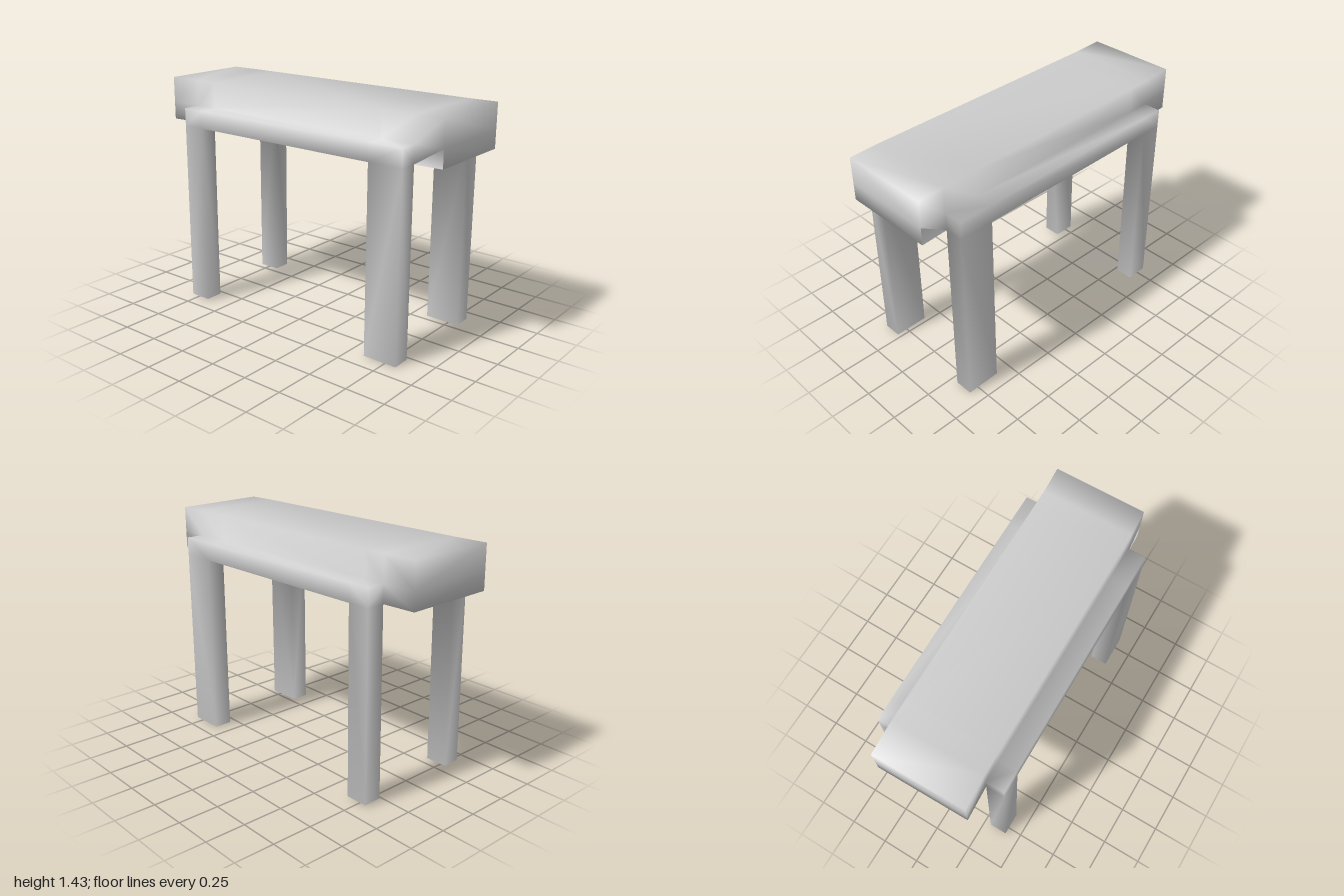
import * as THREE from 'three';

// Break lines of a coarse block grid
const X = [-0.997, -0.79, -0.65, 0.61, 0.827, 0.997];
const Y = [0.006, 1.152, 1.262, 1.422];
const Z = [-0.4, -0.286, 0.286, 0.4];

// Which part, if any, fills a grid cell
function partAt(i, j, k) {
  if (i < 0 || i > 4 || j < 0 || j > 2 || k < 0 || k > 2) return null;
  const middle = k === 1;
  const side = k === 2 ? 'front' : 'back';
  if (j === 0) {
    if (middle || (i !== 1 && i !== 3)) return null;
    return side + (i === 3 ? 'Left' : 'Right') + 'Leg';
  }
  if (middle) return 'seat';
  return j === 1 && i >= 1 && i <= 3 ? side + 'Rail' : null;
}

// Slight yaw and roll of the whole bench, with the seat ends skewed a little more
function warp(x, y, z) {
  const skew = Math.abs(x) > 0.9 ? -0.009 * Math.sign(x) : 0;
  return [x + 0.0123 * z + 0.007 * (y - 1.28), y - 0.007 * x, z - 0.0123 * x + skew];
}

export function createModel() {
  const group = new THREE.Group();
  group.name = 'bench';
  const material = new THREE.MeshStandardMaterial({ color: 0xcccccc });

  // Shared corner points, so that shading runs smoothly across all parts
  const points = [];
  for (const x of X) for (const y of Y) for (const z of Z) points.push(...warp(x, y, z));
  const id = (c) => (c[0] * Y.length + c[1]) * Z.length + c[2];

  // Exposed cell faces, sorted by part
  const faces = {};
  for (let i = 0; i < 5; i++) for (let j = 0; j < 3; j++) for (let k = 0; k < 3; k++) {
    const part = partAt(i, j, k);
    if (!part) continue;
    const list = (faces[part] ??= []);
    for (let axis = 0; axis < 3; axis++) for (const dir of [0, 1]) {
      const next = [i, j, k];
      next[axis] += dir ? 1 : -1;
      if (partAt(...next)) continue;
      const u = (axis + 1) % 3, v = (axis + 2) % 3;
      const [a, b, c, d] = [[0, 0], [1, 0], [1, 1], [0, 1]].map(([du, dv]) => {
        const corner = [i, j, k];
        corner[axis] += dir;
        corner[u] += du;
        corner[v] += dv;
        return id(corner);
      });
      if (dir) list.push(a, b, c, a, c, d);
      else list.push(a, c, b, a, d, c);
    }
  }

  // Smooth normals over the joined body
  const body = new THREE.BufferGeometry();
  body.setAttribute('position', new THREE.Float32BufferAttribute(points, 3));
  body.setIndex(Object.values(faces).flat());
  body.computeVertexNormals();

  // One mesh per part: seat, two rails, four legs
  for (const [name, index] of Object.entries(faces)) {
    const shared = new THREE.BufferGeometry();
    shared.setAttribute('position', body.attributes.position);
    shared.setAttribute('normal', body.attributes.normal);
    shared.setIndex(index);
    const mesh = new THREE.Mesh(shared.toNonIndexed(), material);
    mesh.name = name;
    group.add(mesh);
  }
  return group;
}
